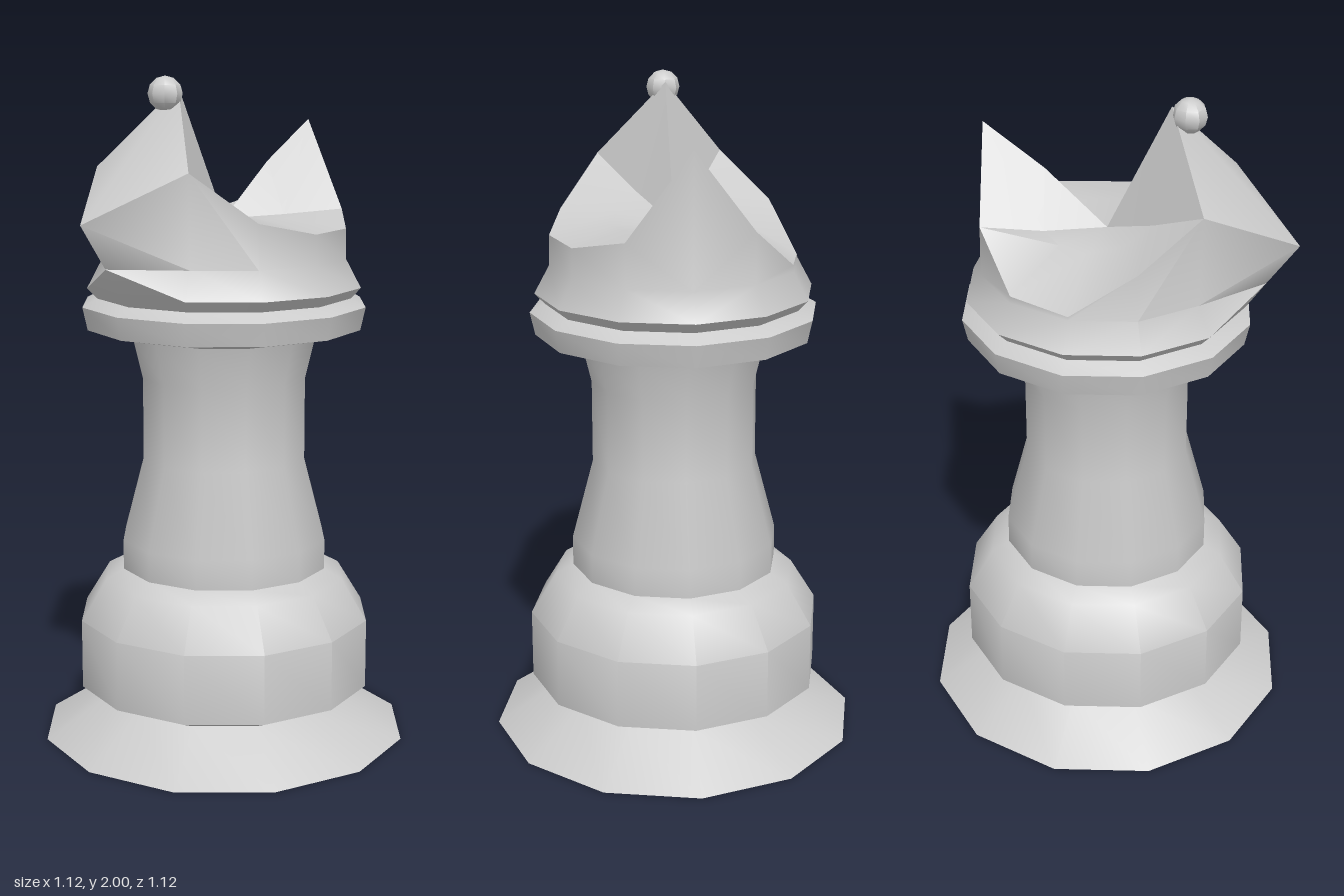
import * as THREE from 'three';
import { toCreasedNormals } from 'three/addons/utils/BufferGeometryUtils.js';

const SIDES = 12;
const CREASE = 0.7;

export function createModel() {
  const group = new THREE.Group();
  const material = new THREE.MeshStandardMaterial({ color: 0xcccccc, side: THREE.DoubleSide });
  const add = (name, geometry) => {
    const mesh = new THREE.Mesh(toCreasedNormals(geometry, CREASE), material);
    mesh.name = name;
    group.add(mesh);
    return mesh;
  };
  const turned = (name, profile) =>
    add(name, new THREE.LatheGeometry(profile.map(([r, y]) => new THREE.Vector2(r, y)), SIDES));

  // Turned parts, from the floor up
  turned('foot', [[0, 0], [0.56, 0], [0.365, 0.125]]);
  turned('base', [[0.365, 0.125], [0.447, 0.16], [0.447, 0.37], [0.37, 0.495], [0.315, 0.525]]);
  turned('stem', [[0.315, 0.525], [0.315, 0.615], [0.25, 0.86], [0.25, 1.11], [0.28, 1.235]]);
  turned('collar', [[0.28, 1.235], [0.415, 1.262], [0.43, 1.33], [0.385, 1.355]]);

  // Crown: rings of [radius, height], one entry per 30 degrees from +x towards +z
  const ring = (r, y) => Array.from({ length: SIDES }, () => [r, y]);
  const shoulder = ring(0.37, 1.47);
  shoulder[6] = [0.47, 1.47];
  const rimHeights = [1.86, 1.6, 1.56, 1.56, 1.6, 1.74, 1.6, 1.74, 1.61, 1.48, 1.49, 1.62];
  const rim = rimHeights.map((y) => [0.368, y]);
  rim[5][0] = rim[7][0] = 0.38;
  rim[6][0] = 0.56; // overhanging tip of the tall horn
  const innerHeights = [1.74, 1.588, 1.585, 1.585, 1.605, 1.65, 1.97];
  const inner = rim.map((_, k) => [0.185, innerHeights[k <= 6 ? k : 12 - k]]);
  const rings = [ring(0.385, 1.355), ring(0.415, 1.387), shoulder, rim, inner, ring(0, 1.58)];

  const positions = [];
  const indices = [];
  rings.forEach((points, j) => points.forEach(([r, y], k) => {
    const a = (k / SIDES) * Math.PI * 2;
    positions.push(r * Math.cos(a), y, r * Math.sin(a));
    if (j === rings.length - 1) return;
    const low = j * SIDES + k;
    const lowNext = j * SIDES + ((k + 1) % SIDES);
    const up = low + SIDES;
    const upNext = lowNext + SIDES;
    if (j === rings.length - 2) indices.push(low, up, lowNext);
    // Diagonals mirror across the front-to-back halves
    else if (k < 6) indices.push(low, up, upNext, low, upNext, lowNext);
    else indices.push(low, up, lowNext, lowNext, up, upNext);
  }));
  const crown = new THREE.BufferGeometry();
  crown.setAttribute('position', new THREE.Float32BufferAttribute(positions, 3));
  crown.setIndex(indices);
  add('crown', crown);

  // Small bead on the tall horn
  const bead = add('bead', new THREE.SphereGeometry(0.05, 8, 6));
  bead.position.set(-0.236, 1.95, 0);

  return group;
}
